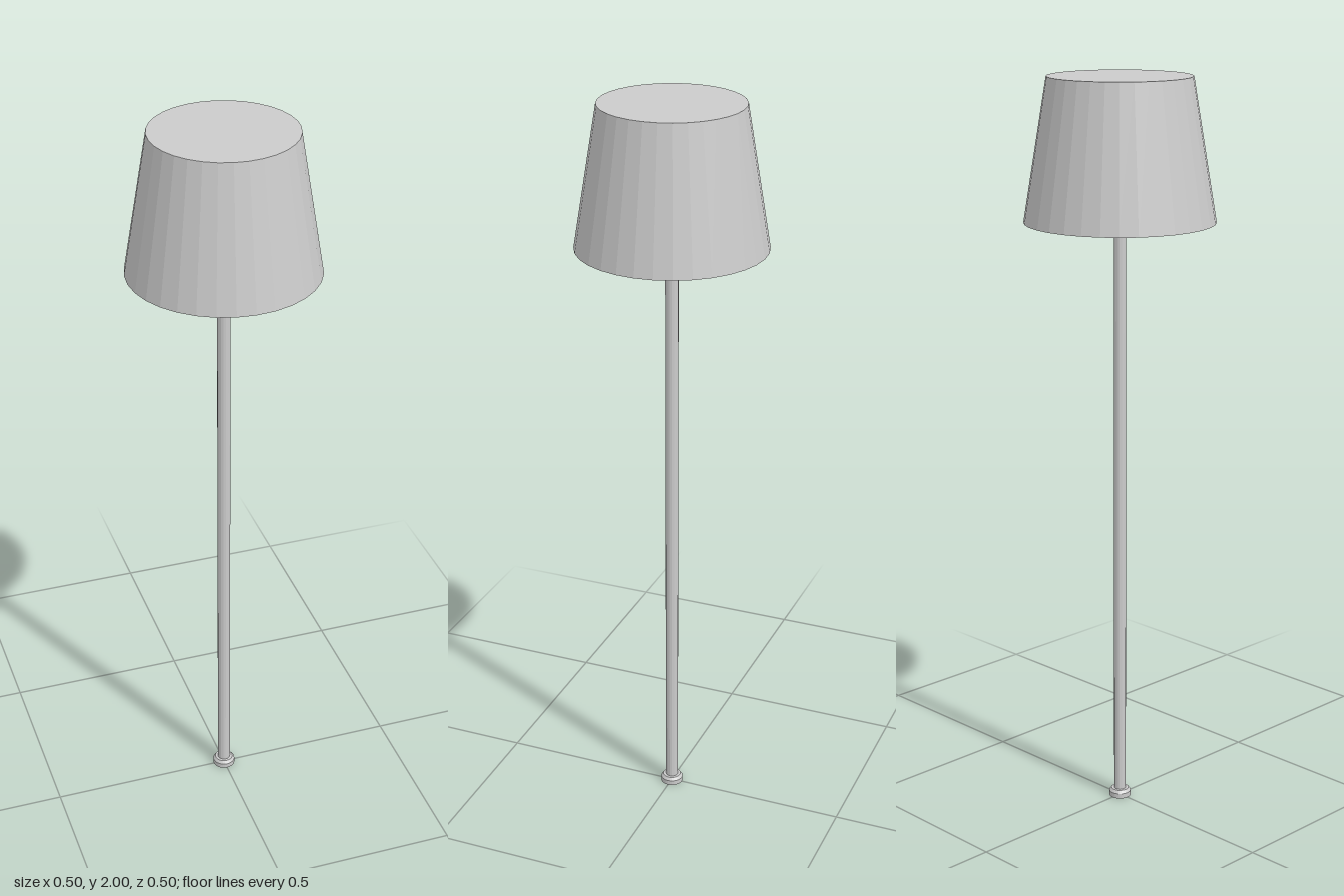
import * as THREE from 'three';

const material = new THREE.MeshStandardMaterial({ color: 0xcccccc, flatShading: true });

// Closed round part standing between two heights
function roundPart(name, topRadius, bottomRadius, y0, y1, sides) {
  const geometry = new THREE.CylinderGeometry(topRadius, bottomRadius, y1 - y0, sides);
  geometry.translate(0, (y0 + y1) / 2, 0);
  const mesh = new THREE.Mesh(geometry, material);
  mesh.name = name;
  return mesh;
}

export function createModel() {
  const lamp = new THREE.Group();
  lamp.name = 'floorLamp';

  // Small foot with a chamfered upper edge
  const profile = [[0, 0], [0.031, 0], [0.031, 0.014], [0.025, 0.022], [0, 0.022]];
  const foot = new THREE.Mesh(
    new THREE.LatheGeometry(profile.map(([x, y]) => new THREE.Vector2(x, y)), 32),
    material
  );
  foot.name = 'foot';
  lamp.add(foot);

  // Slender pole reaching the underside of the shade
  lamp.add(roundPart('pole', 0.0175, 0.0175, 0.02, 1.63, 16));

  // Tapered, closed shade
  lamp.add(roundPart('shade', 0.19, 0.252, 1.625, 2, 32));

  return lamp;
}
